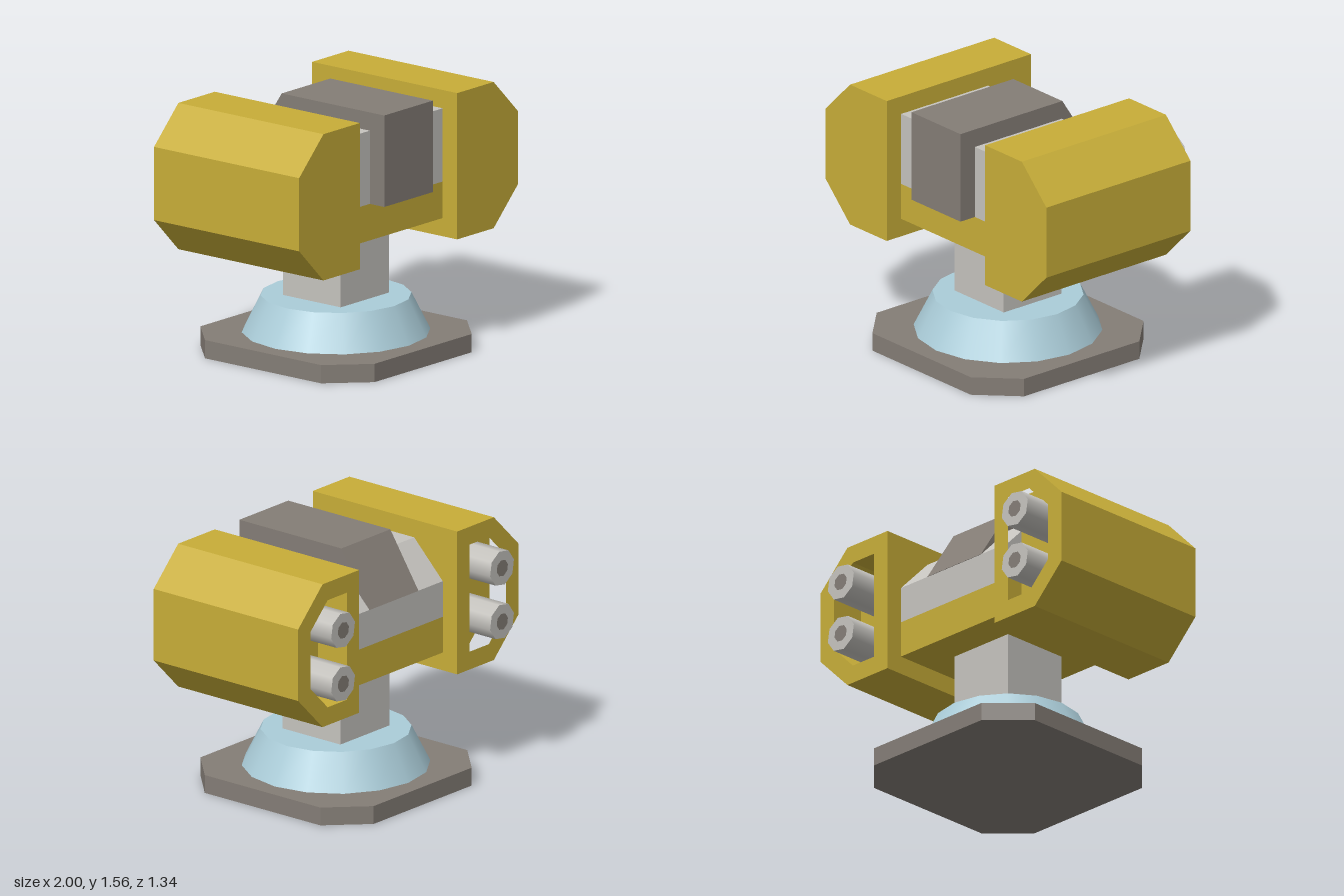
import * as THREE from 'three';

const material = (name, color) => {
  const m = new THREE.MeshStandardMaterial({ color });
  m.name = name;
  return m;
};

// Closed polygon from [x, y] corners
const polygon = (points) => new THREE.Shape(points.map(([x, y]) => new THREE.Vector2(x, y)));

const extrude = (shape, depth) => new THREE.ExtrudeGeometry(shape, { depth, bevelEnabled: false });

// Side profile given as [z, y], extruded evenly across x
const acrossX = (points, width) =>
  extrude(polygon(points), width).translate(0, 0, -width / 2).rotateY(-Math.PI / 2);

export function createModel() {
  const yellow = material('yellow paint', 0xc7ad38);
  const lightGrey = material('light grey metal', 0xc5c3be);
  const darkGrey = material('dark grey metal', 0x847d76);
  const blue = material('pale blue metal', 0xabcdd9);

  const model = new THREE.Group();
  model.name = 'turret';
  const add = (name, geometry, mat, parent = model) => {
    const mesh = new THREE.Mesh(geometry, mat);
    mesh.name = name;
    parent.add(mesh);
    return mesh;
  };

  // Octagonal base plate
  const a = 0.667, b = 0.445;
  const octagon = polygon([[a, -b], [a, b], [b, a], [-b, a], [-a, b], [-a, -b], [-b, -a], [b, -a]]);
  add('basePlate', extrude(octagon, 0.111).rotateX(-Math.PI / 2), darkGrey);

  // Tapered pedestal and square post
  add('pedestal', new THREE.CylinderGeometry(0.445, 0.556, 0.222, 16).translate(0, 0.222, 0), blue);
  add('post', new THREE.BoxGeometry(0.444, 0.46, 0.444).translate(0, 0.56, 0), lightGrey);

  // Cross body between the pods, sloped at the back
  add('lowerBody', new THREE.BoxGeometry(0.89, 0.222, 0.89).translate(0, 0.889, 0), yellow);
  add('upperBody', acrossX(
    [[0.445, 1], [0.445, 1.445], [-0.225, 1.445], [-0.445, 1.222], [-0.445, 1]], 0.89), lightGrey);
  add('centreCover', acrossX(
    [[0.556, 1], [0.556, 1.556], [-0.23, 1.556], [-0.447, 1.222], [0.2, 1]], 0.444), darkGrey);

  // Two mirrored pods, each with a recessed back holding two tubes
  for (const side of [1, -1]) {
    const pod = new THREE.Group();
    pod.name = side > 0 ? 'leftPod' : 'rightPod';
    model.add(pod);

    const mirror = (points) => points.map(([x, y]) => [side * x, y]);
    const outline = mirror([[0.445, 0.667], [0.778, 0.667], [1, 0.889], [1, 1.334],
      [0.778, 1.556], [0.445, 1.556]]);
    const opening = mirror([[0.556, 0.778], [0.732, 0.778], [0.889, 0.935], [0.889, 1.288],
      [0.732, 1.445], [0.556, 1.445]]);

    add('podBody', extrude(polygon(outline), 0.889).translate(0, 0, -0.333), yellow, pod);
    const frame = polygon(outline);
    frame.holes.push(polygon(opening));
    add('podRearFrame', extrude(frame, 0.223).translate(0, 0, -0.556), yellow, pod);

    for (const y of [0.947, 1.28]) {
      const twist = THREE.MathUtils.degToRad(13);
      add('tube', new THREE.CylinderGeometry(0.111, 0.111, 0.343, 8, 1, false, twist)
        .rotateX(-Math.PI / 2).translate(side * 0.722, y, -0.495), lightGrey, pod);
      // Dark bore on the rear end
      add('tubeBore', new THREE.CircleGeometry(0.052, 8, twist)
        .rotateY(Math.PI).translate(side * 0.722, y, -0.6685), darkGrey, pod);
    }
  }
  return model;
}
